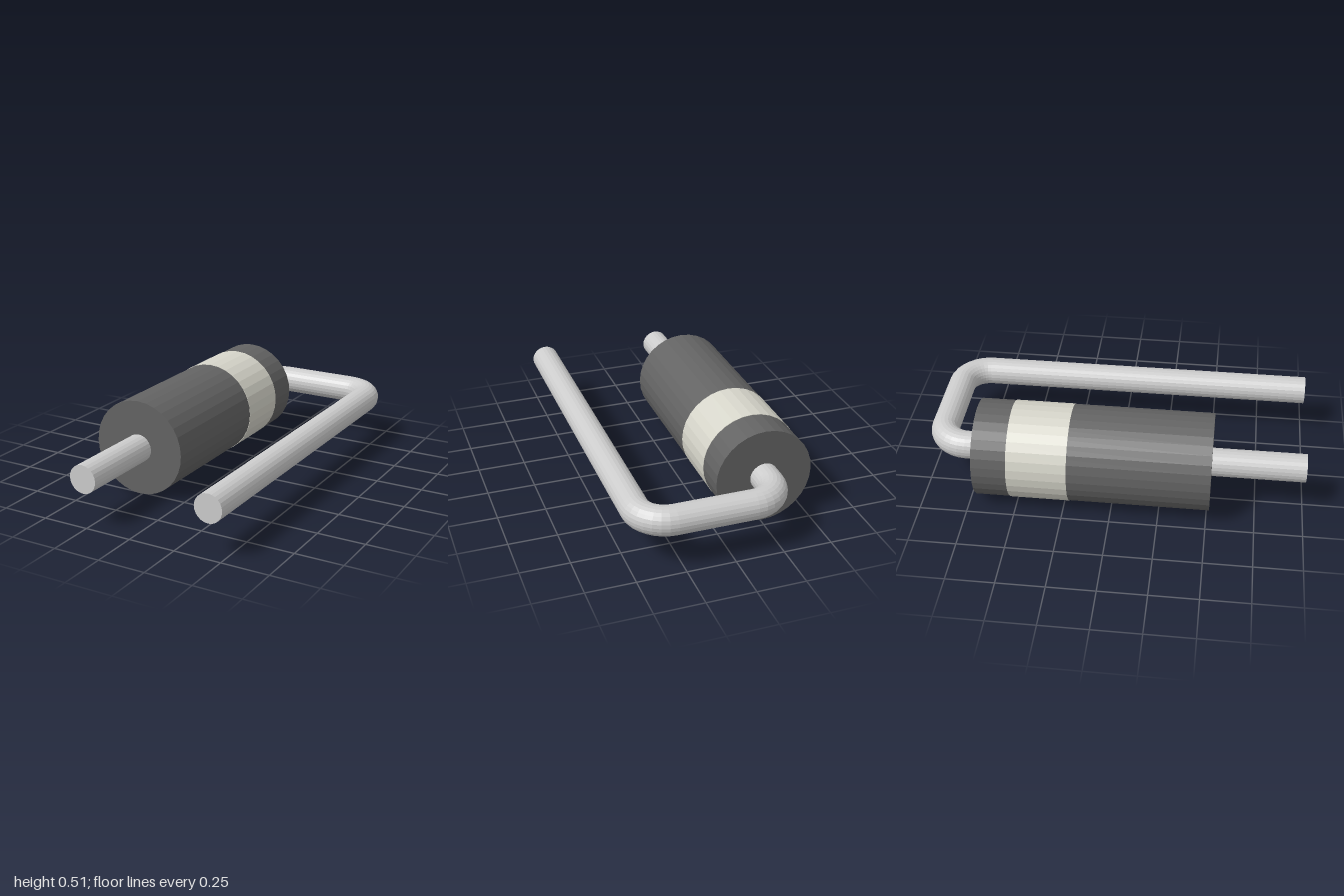
import * as THREE from 'three';

const Y = 0.255;          // height of every axis
const BODY_X = -0.26;     // axis of the body and the short lead
const LEG_X = 0.435;      // axis of the long return leg
const WIRE_R = 0.074;
const BEND_R = 0.148;
const BACK_Z = -0.926;    // axis of the crossing wire
const SIDES = 24;

const material = (color) => new THREE.MeshStandardMaterial({ color, flatShading: true });

export function createModel() {
  const model = new THREE.Group();
  model.name = 'axialComponent';
  const dark = material(0x636363);
  const pale = material(0xd6d5ca);
  const metal = material(0xcacac6);

  const add = (name, geometry, mat, x, z) => {
    const mesh = new THREE.Mesh(geometry, mat);
    mesh.name = name;
    mesh.position.set(x, Y, z);
    model.add(mesh);
  };
  // Cylinder lying along z, from z0 to z1
  const rod = (name, r, sides, x, z0, z1, mat) =>
    add(name, new THREE.CylinderGeometry(r, r, z1 - z0, sides).rotateX(Math.PI / 2), mat, x, (z0 + z1) / 2);

  // Body with its polarity band
  rod('body', 0.253, 32, BODY_X, -0.705, 0.515, dark);
  rod('polarityBand', 0.255, 32, BODY_X, -0.525, -0.215, pale);

  // Straight leads
  const bendZ = BACK_Z + BEND_R;
  rod('frontLead', WIRE_R, SIDES, BODY_X, 0.5, 1, metal);
  rod('backLead', WIRE_R, SIDES, BODY_X, bendZ, -0.69, metal);
  rod('returnLeg', WIRE_R, SIDES, LEG_X, bendZ, 1, metal);

  // Crossing wire behind the body
  const x0 = BODY_X + BEND_R;
  const x1 = LEG_X - BEND_R;
  add('crossWire', new THREE.CylinderGeometry(WIRE_R, WIRE_R, x1 - x0, SIDES, 1, true).rotateZ(Math.PI / 2),
    metal, (x0 + x1) / 2, BACK_Z);

  // Quarter bends joining the crossing wire to the leads
  const bend = (turn) => new THREE.TorusGeometry(BEND_R, WIRE_R, SIDES, 8, Math.PI / 2)
    .rotateZ(turn).rotateX(-Math.PI / 2);
  add('leftBend', bend(0), metal, x1, bendZ);
  add('rightBend', bend(Math.PI / 2), metal, x0, bendZ);

  return model;
}
